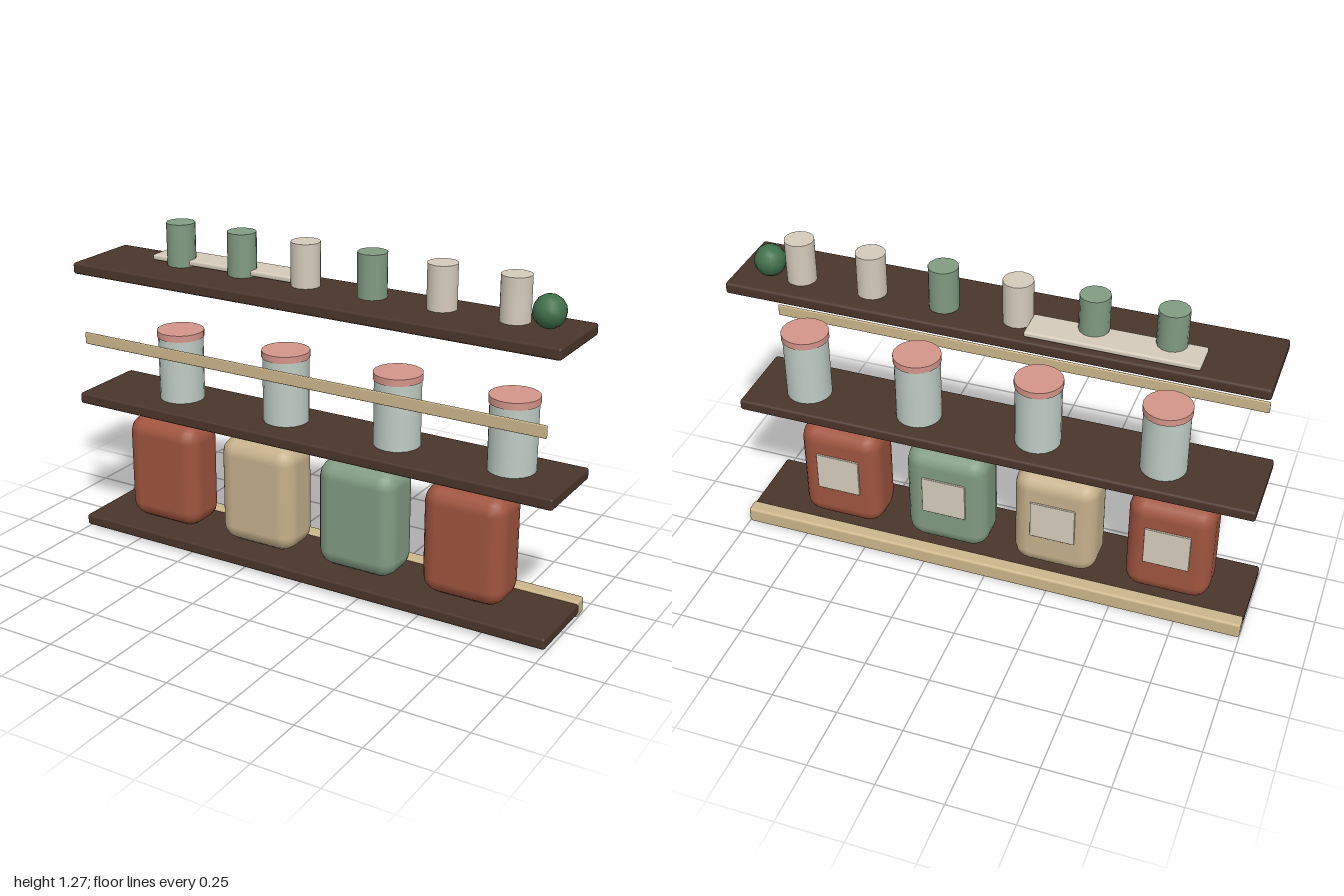
import * as THREE from 'three';
import { RoundedBoxGeometry } from 'three/addons/geometries/RoundedBoxGeometry.js';

const COLORS = {
  walnut: 0x4a352b, oak: 0xcdb78c, rust: 0xa0553f, tan: 0xc6b18c, sage: 0x829c83,
  cream: 0xd6ccbc, glass: 0xc0cdc6, pink: 0xd4958a, leaf: 0x3f6f4a,
};
const materials = {};
for (const key in COLORS) materials[key] = new THREE.MeshStandardMaterial({ color: COLORS[key] });

function add(parent, name, geometry, color, x, y, z) {
  const mesh = new THREE.Mesh(geometry, materials[color]);
  mesh.name = name;
  mesh.position.set(x, y, z);
  parent.add(mesh);
  return mesh;
}

const rounded = (w, h, d, r, segments = 2) => new RoundedBoxGeometry(w, h, d, segments, r);

export function createModel() {
  const model = new THREE.Group();
  model.name = 'shelfDisplay';

  // Three equal boards
  const board = rounded(2, 0.044, 0.323, 0.01);
  [['lowerShelf', 0.034], ['middleShelf', 0.559], ['upperShelf', 1.086]].forEach(([name, y]) =>
    add(model, name, board, 'walnut', 0, y, 0.016));

  // Ledge along the back of the lower board, rail in front of the jars
  add(model, 'backLedge', rounded(2, 0.064, 0.058, 0.01), 'oak', 0, 0.033, -0.149);
  add(model, 'frontRail', rounded(1.925, 0.046, 0.01, 0.004), 'oak', 0, 0.811, 0.167);

  // Soft-cornered canisters with a label on the back
  const canister = rounded(0.327, 0.425, 0.2, 0.065, 2);
  const label = rounded(0.175, 0.16, 0.012, 0.003, 1);
  [[-0.69, 'rust'], [-0.25, 'tan'], [0.185, 'sage'], [0.623, 'rust']].forEach(([x, color]) => {
    const group = new THREE.Group();
    group.name = 'canister';
    add(group, 'canisterBody', canister, color, x, 0.268, -0.008);
    add(group, 'canisterLabel', label, 'cream', x, 0.29, -0.109);
    model.add(group);
  });

  // Glass jars with lids
  const jarBody = new THREE.CylinderGeometry(0.087, 0.087, 0.25, 20);
  const jarLid = new THREE.CylinderGeometry(0.091, 0.091, 0.026, 20);
  for (const x of [-0.63, -0.152, 0.32, 0.772]) {
    const group = new THREE.Group();
    group.name = 'jar';
    add(group, 'jarBody', jarBody, 'glass', x, 0.705, 0.003);
    add(group, 'jarLid', jarLid, 'pink', x, 0.843, 0.003);
    model.add(group);
  }

  // Row of cups on the upper board
  const cup = new THREE.CylinderGeometry(0.055, 0.055, 0.164, 14);
  ['sage', 'sage', 'cream', 'sage', 'cream', 'cream'].forEach((color, i) =>
    add(model, 'cup', cup, color, -0.63 + i * 0.2757, 1.19, -0.021));

  // Flat tray and round plant
  add(model, 'tray', rounded(0.622, 0.022, 0.124, 0.008), 'cream', -0.442, 1.123, -0.062);
  add(model, 'plantBall', new THREE.SphereGeometry(0.06, 12, 8), 'leaf', 0.872, 1.161, -0.021);

  return model;
}
